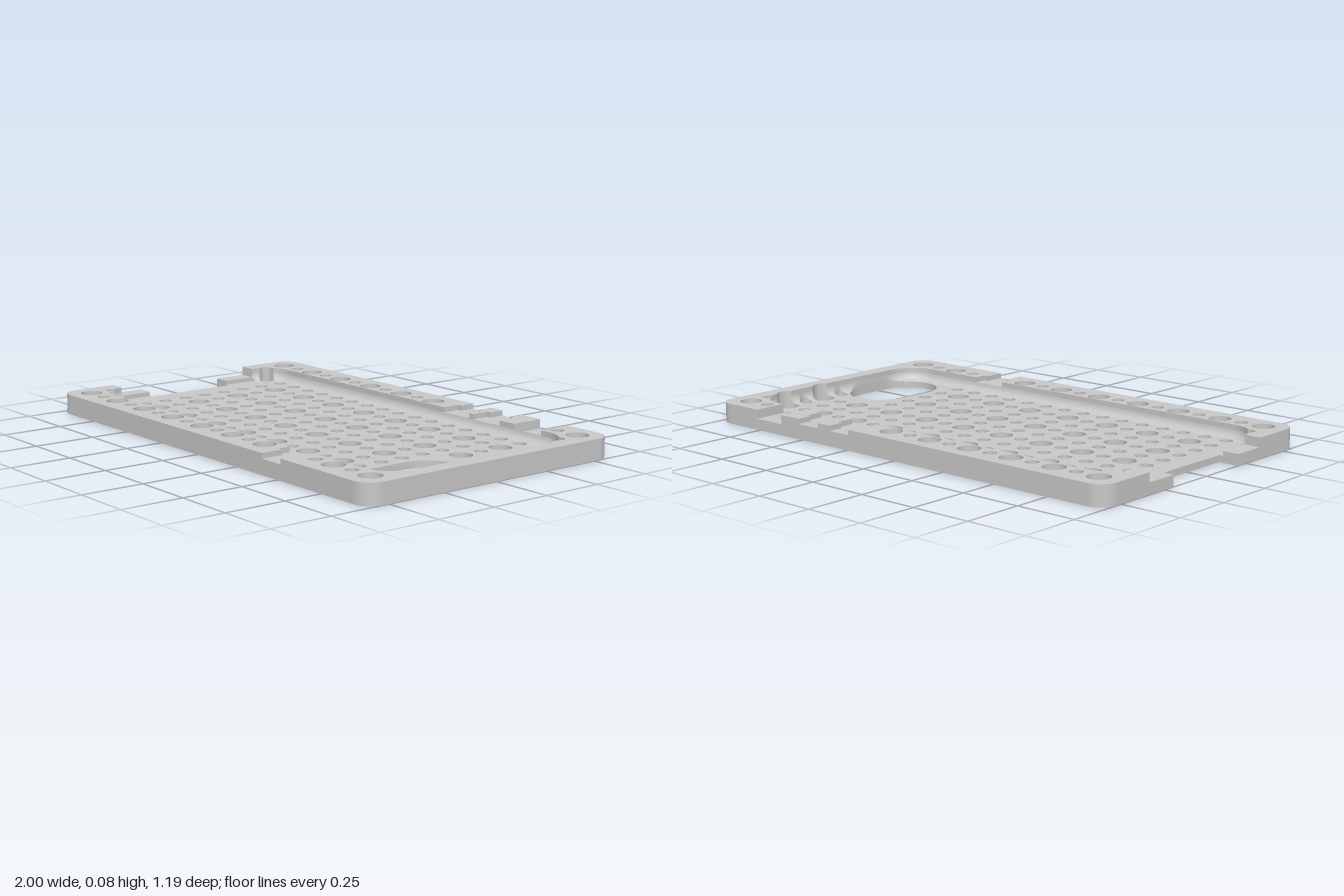
import * as THREE from 'three';
import { toCreasedNormals } from 'three/addons/utils/BufferGeometryUtils.js';

const PITCH = 0.1007, FLOOR = 0.027, LIP = 0.045, SLOT = 0.061, TOP = 0.082;
const OUTER = { hx: 1, hz: 0.596, r: 0.07 };
const CAVITY = { hx: 0.932, hz: 0.455, r: 0.125 };

// Notches in the rim: side, from, to
const opening = { side: 'left', a: -0.2, b: 0.2 };
const lips = { side: 'left', a: -0.34, b: 0.34 };
const wide = { side: 'back', a: 0.62, b: 0.765 };
const slots = [
  { side: 'back', a: 0.22, b: 0.365, shoulder: 0.066 },
  { side: 'back', a: 0.39, b: 0.54, shoulder: 0.066 },
  { side: 'front', a: 0.39, b: 0.54, shoulder: 0.09 },
];

function inNotch(n, x, z) {
  if (n.side === 'left') return x < -0.8 && z > n.a + 1e-6 && z < n.b - 1e-6;
  return (n.side === 'back' ? z < -0.3 : z > 0.3) && x > n.a + 1e-6 && x < n.b - 1e-6;
}

// Perforation grid: big holes alternate with small ones
function makeHoles() {
  const holes = [];
  for (let i = -9; i <= 9; i++) for (let j = -5; j <= 5; j++) {
    if (i === -9 && Math.abs(j) < 4) continue;
    if (i > 6 && j >= 0 && j <= 4 && !(i === 9 && j === 0)) continue;
    if (j === -5 && i >= 2 && i <= 7) continue;
    if (j === 5 && (i === 4 || i === 5)) continue;
    holes.push({ i, j, x: i * PITCH, z: j * PITCH, r: i % 2 && j % 2 ? 0.045 : 0.026 });
  }
  return holes;
}
const holes = makeHoles();

// Everything that can bite into the cavity wall: holes and the camera window
const CAM = { x: 0.797, z0: 0.134, z1: 0.283, r: 0.134 };
const cutters = holes.filter(h => Math.abs(h.j) < 5);
for (let k = 0; k <= 10; k++) cutters.push({ x: CAM.x, z: CAM.z0 + (CAM.z1 - CAM.z0) * k / 10, r: CAM.r });

// Directions used for all outlines, including the exact notch edges
function makeAngles() {
  const list = [];
  for (let k = 0; k < 900; k++) list.push(-Math.PI + (k + 0.5) / 900 * 2 * Math.PI);
  for (const n of [opening, lips, wide, ...slots]) for (const e of [n.a, n.b]) for (const o of [OUTER, CAVITY]) {
    if (n.side === 'left') list.push(Math.atan2(e, -o.hx));
    else list.push(Math.atan2(n.side === 'back' ? -o.hz : o.hz, e));
  }
  return list.sort((p, q) => p - q);
}
const angles = makeAngles();

// Distance from the centre to a rounded rectangle along a direction
function reach({ hx, hz, r }, c, s) {
  let lo = 0, hi = 2;
  for (let k = 0; k < 32; k++) {
    const m = (lo + hi) / 2;
    const qx = Math.abs(c * m) - hx + r, qz = Math.abs(s * m) - hz + r;
    const d = Math.hypot(Math.max(qx, 0), Math.max(qz, 0)) + Math.min(Math.max(qx, qz), 0) - r;
    if (d > 0) hi = m; else lo = m;
  }
  return lo;
}

const outerLine = angles.map(a => {
  const c = Math.cos(a), s = Math.sin(a), d = reach(OUTER, c, s);
  return [c * d, s * d];
});

// Cavity outline moved inward, scalloped where holes cross the wall
function cavityOutline(inset) {
  const rect = { hx: CAVITY.hx - inset, hz: CAVITY.hz - inset, r: CAVITY.r - inset };
  return angles.map(a => {
    const c = Math.cos(a), s = Math.sin(a), wall = reach(CAVITY, c, s);
    let d = reach(rect, c, s);
    for (const h of cutters) {
      const t = h.x * c + h.z * s, off = h.x * s - h.z * c;
      if (t < 0 || Math.abs(off) >= h.r) continue;
      const w = Math.sqrt(h.r * h.r - off * off);
      if (t - w <= wall && t + w > d) d = t + w;
    }
    return [c * d, s * d];
  });
}
const cavityLine = cavityOutline(0);

const flat = pts => pts.map(([x, z]) => new THREE.Vector2(x, -z));
// Holes wind the other way round than the outline
const holePath = pts => new THREE.Path(flat(pts).reverse());

function slab(shape, y0, y1) {
  const g = new THREE.ExtrudeGeometry(shape, { depth: y1 - y0, bevelEnabled: false });
  g.rotateX(-Math.PI / 2).translate(0, y0, 0);
  return toCreasedNormals(g, 0.6);
}

function circlePath(h, n = 24) {
  const pts = [];
  for (let k = 0; k < n; k++) {
    const a = (k + 0.5) / n * Math.PI * 2;
    pts.push([h.x + h.r * Math.cos(a), h.z + h.r * Math.sin(a)]);
  }
  return holePath(pts);
}

// Split an outline into the runs between notches
function runs(line, notches) {
  const out = [];
  let run = null;
  for (const p of line) {
    if (notches.some(n => inNotch(n, p[0], p[1]))) { run = null; continue; }
    if (!run) out.push(run = []);
    run.push(p);
  }
  return out;
}

function inside(poly, x, z) {
  let odd = false;
  poly.forEach(([ax, az], k) => {
    const [bx, bz] = poly[(k + 1) % poly.length];
    if ((az > z) !== (bz > z) && x < ax + (z - az) / (bz - az) * (bx - ax)) odd = !odd;
  });
  return odd;
}

// One level of the rim, broken by its notches
function rimLevel(notches, y0, y1) {
  const inner = runs(cavityLine, notches);
  return runs(outerLine, notches).map((o, k) => {
    const poly = [...o, ...inner[k].slice().reverse()];
    const shape = new THREE.Shape(flat(poly));
    for (const h of holes) if (Math.abs(h.j) === 5 && inside(poly, h.x, h.z)) shape.holes.push(circlePath(h));
    return slab(shape, y0, y1);
  });
}

// Perforated floor with open end, camera window and square pockets below
function floorPlate() {
  const pts = runs(outerLine, [opening])[0];
  const shape = new THREE.Shape(flat([...pts, [-0.915, 0.2], [-0.915, -0.2]]));
  for (const h of holes) {
    const pocket = Math.abs(h.i) === 8 && Math.abs(h.j) === 5;
    shape.holes.push(pocket ? circlePath({ ...h, r: 0.046 }, 4) : circlePath(h));
  }
  const win = [];
  for (let k = 0; k <= 48; k++) {
    const a = (k % 25) / 24 * Math.PI + (k > 24 ? Math.PI : 0);
    win.push([CAM.x + CAM.r * Math.cos(a), (k > 24 ? CAM.z0 : CAM.z1) + CAM.r * Math.sin(a)]);
  }
  win.push([CAM.x + CAM.r, CAM.z0]);
  shape.holes.push(holePath(win));
  return slab(shape, 0, FLOOR);
}

// Curved fillet where the floor meets the cavity wall
function fillet() {
  const W = 0.038, H = 0.034, L = 5, n = angles.length, pos = [], idx = [];
  for (let l = 0; l <= L; l++) {
    const a = l / L * Math.PI / 2;
    for (const [x, z] of cavityOutline(W * (1 - Math.sin(a)))) pos.push(x, FLOOR + H * (1 - Math.cos(a)), z);
  }
  for (let l = 0; l < L; l++) for (let k = 0; k < n; k++) {
    const a = l * n + k, b = l * n + (k + 1) % n;
    if (pos[a * 3] < -0.85 && Math.abs(pos[a * 3 + 2]) < 0.34) continue;
    idx.push(a, b, a + n, b, b + n, a + n);
  }
  const g = new THREE.BufferGeometry();
  g.setAttribute('position', new THREE.Float32BufferAttribute(pos, 3));
  g.setIndex(idx);
  return toCreasedNormals(g, 0.6);
}

export function createModel() {
  const model = new THREE.Group();
  model.name = 'perforatedCase';
  const grey = new THREE.MeshStandardMaterial({ color: 0xc8c8c8 });
  grey.name = 'grey';
  const add = (name, geo) => {
    const m = new THREE.Mesh(geo, grey);
    m.name = name;
    model.add(m);
    return m;
  };

  add('floorPlate', floorPlate());
  rimLevel([opening], FLOOR, LIP).forEach(g => add('lowerRim', g));
  rimLevel([lips, wide], LIP, SLOT).forEach(g => add('middleRim', g));
  rimLevel([lips, wide, ...slots], SLOT, TOP).forEach(g => add('upperRim', g));
  add('cavityFillet', fillet());

  // Shoulders that narrow each button slot toward the outside
  for (const s of slots) for (const x of [s.a + 0.01, s.b - 0.01]) {
    const m = add('slotShoulder', new THREE.BoxGeometry(0.02, TOP - SLOT, s.shoulder));
    m.position.set(x, (TOP + SLOT) / 2, (s.side === 'back' ? -1 : 1) * (OUTER.hz - s.shoulder / 2));
  }
  return model;
}
